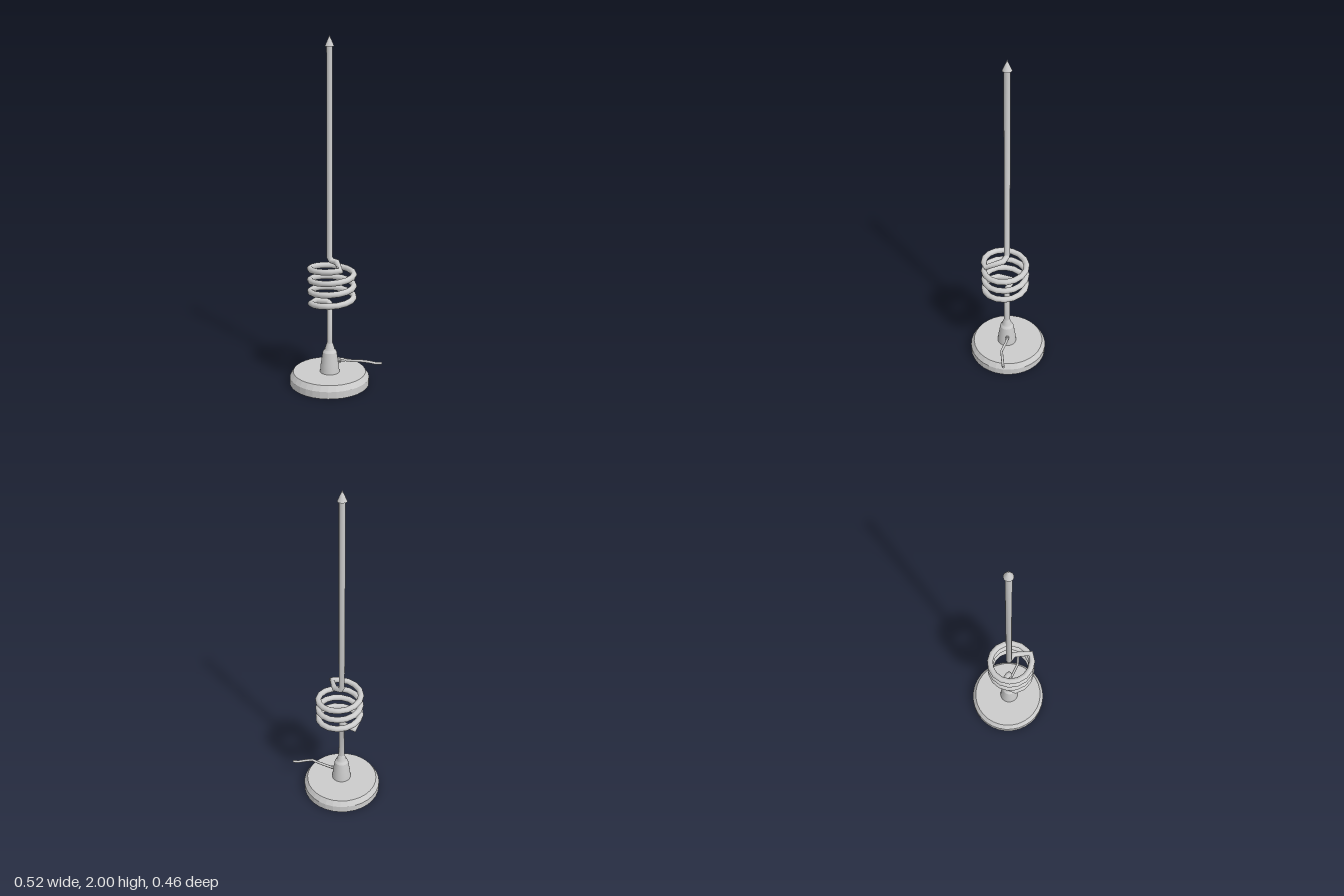
import * as THREE from 'three';

const CX = -0.02, CZ = 0.005; // mast axis

// Curve that passes straight between its points, with mitred corner tangents
class Polyline extends THREE.Curve {
  constructor(points) { super(); this.points = points; }
  getPoint(t) {
    const n = this.points.length - 1, f = t * n;
    const i = Math.min(Math.floor(f + 1e-6), n - 1);
    return this.points[i].clone().lerp(this.points[i + 1], f - i);
  }
  getPointAt(t) { return this.getPoint(t); }
  getTangentAt(t) {
    const p = this.points, n = p.length - 1, i = Math.round(t * n);
    const out = new THREE.Vector3();
    if (i > 0) out.add(p[i].clone().sub(p[i - 1]).normalize());
    if (i < n) out.add(p[i + 1].clone().sub(p[i]).normalize());
    return out.normalize();
  }
}

export function createModel() {
  const group = new THREE.Group();
  const smooth = new THREE.MeshStandardMaterial({ color: 0xcccccc, side: THREE.DoubleSide });
  const flat = new THREE.MeshStandardMaterial({ color: 0xcccccc, flatShading: true });
  const v = (x, y, z) => new THREE.Vector3(x, y, z);

  const add = (name, geometry, material, x = 0, y = 0, z = 0) => {
    const mesh = new THREE.Mesh(geometry, material);
    mesh.name = name;
    mesh.position.set(x, y, z);
    group.add(mesh);
    return mesh;
  };
  const lathe = (profile, sides) =>
    new THREE.LatheGeometry(profile.map(([r, y]) => new THREE.Vector2(r, y)), sides);
  const wire = (points, radius, sides) =>
    new THREE.TubeGeometry(new Polyline(points), points.length - 1, radius, sides);

  // Round weighted base with bevelled upper edge
  add('base', lathe([[0, 0], [0.232, 0], [0.232, 0.042], [0.212, 0.073], [0, 0.073]], 32),
    flat, -0.026, 0, 0);

  // Tapered boot, with a collar that narrows to the mast
  add('boot', lathe([[0.057, 0.07], [0.053, 0.12], [0.041, 0.195]], 24), smooth, CX, 0, CZ);
  add('collar', lathe([[0.041, 0.195], [0.033, 0.208], [0.029, 0.21], [0.027, 0.222],
    [0.0175, 0.25]], 24), smooth, CX, 0, CZ);

  // Mast: one rod that winds into a loading coil part way up
  const mast = [v(CX, 1.945, CZ), v(CX, 0.765, CZ), v(CX + 0.008, 0.748, CZ - 0.002),
    v(0.028, 0.742, 0.002)];
  const start = 0.18 * Math.PI, end = 6.72 * Math.PI, steps = 52;
  for (let i = 0; i <= steps; i++) {
    const a = start + (end - start) * i / steps;
    mast.push(v(-0.003 + 0.125 * Math.cos(a), 0.695 - (a - Math.PI) * 0.0106,
      0.007 + 0.125 * Math.sin(a)));
  }
  mast.push(v(-0.112, 0.495, 0.008), v(CX - 0.012, 0.498, CZ), v(CX, 0.488, CZ),
    v(CX, 0.2, CZ));
  add('mastAndCoil', wire(mast, 0.0175, 12), smooth);

  // Pointed tip
  add('tip', new THREE.ConeGeometry(0.026, 0.06, 16), smooth, CX, 1.97, CZ);

  // Feed cable and the plug where it enters the boot
  const cable = [v(0.0, 0.138, -0.012), v(0.03, 0.14, -0.028), v(0.06, 0.147, -0.04),
    v(0.11, 0.15, -0.05), v(0.155, 0.157, -0.06), v(0.19, 0.152, -0.085),
    v(0.225, 0.142, -0.11), v(0.254, 0.143, -0.13)];
  add('cable', wire(cable, 0.008, 8), smooth);
  const plug = add('cablePlug', new THREE.CylinderGeometry(0.011, 0.011, 0.025, 8), flat,
    0.024, 0.14, -0.024);
  plug.quaternion.setFromUnitVectors(v(0, 1, 0), v(0.03, 0.002, -0.016).normalize());
  const cap = add('cableEnd', new THREE.CircleGeometry(0.008, 8), smooth, 0.254, 0.143, -0.13);
  cap.quaternion.setFromUnitVectors(v(0, 0, 1), v(0.029, 0.001, -0.02).normalize());

  return group;
}
